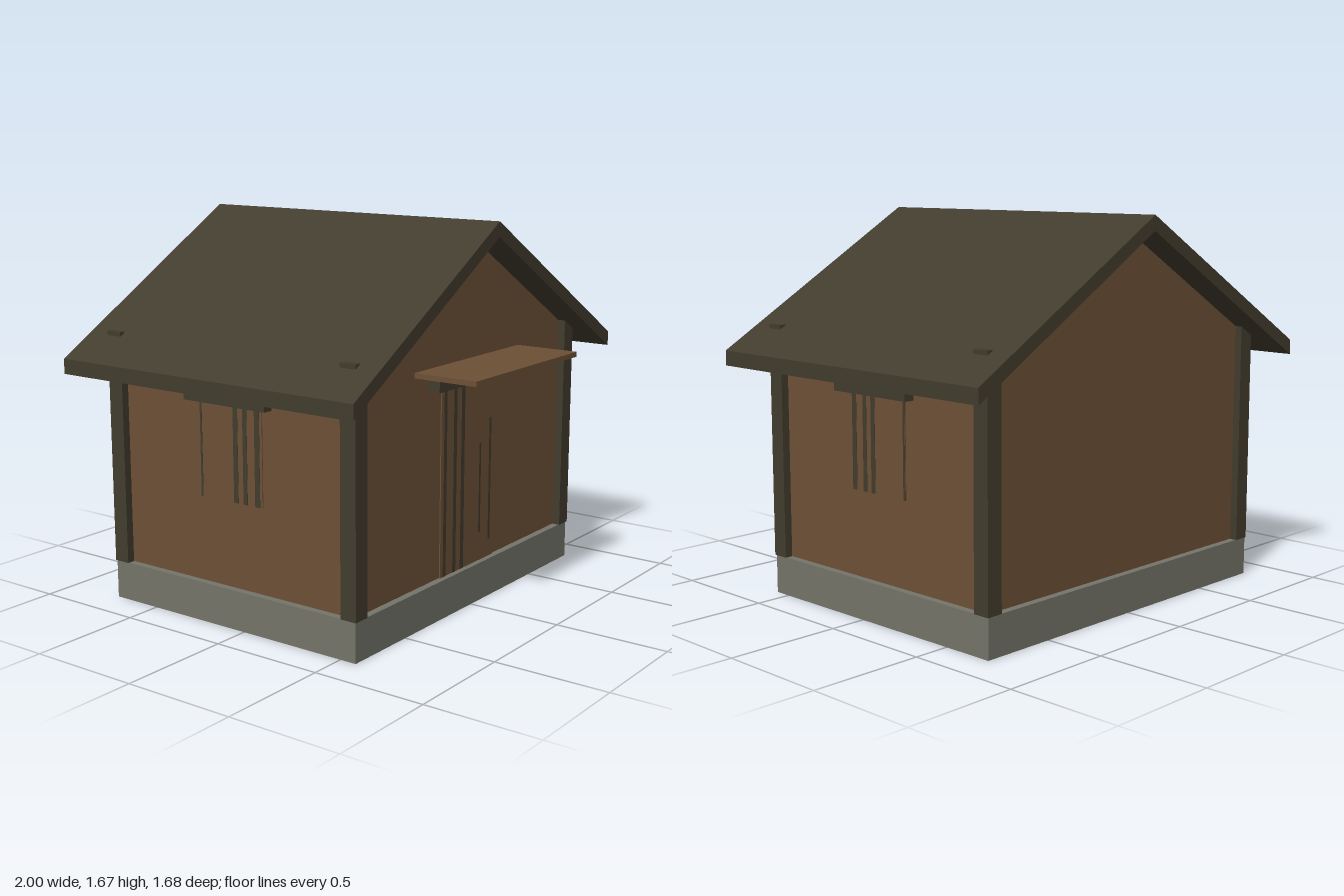
import * as THREE from 'three';

export function createModel() {
  const model = new THREE.Group();
  model.name = 'cabin';

  const mat = (name, color) => {
    const m = new THREE.MeshStandardMaterial({ color, side: THREE.DoubleSide });
    m.name = name;
    return m;
  };
  const wood = mat('brown wood', 0x6d5036);
  const dark = mat('dark timber', 0x423c2e);
  const stone = mat('grey stone', 0x74746a);

  const add = (name, geometry, material) => {
    const mesh = new THREE.Mesh(geometry, material);
    mesh.name = name;
    model.add(mesh);
    return mesh;
  };
  // Box given by its lower and upper limits on each axis
  const box = (name, material, x0, x1, y0, y1, z0, z1) => {
    const g = new THREE.BoxGeometry(Math.abs(x1 - x0), y1 - y0, Math.abs(z1 - z0));
    g.translate((x0 + x1) / 2, (y0 + y1) / 2, (z0 + z1) / 2);
    return add(name, g, material);
  };
  // Front outline extruded from z0 to z1
  const prism = (name, material, points, z0, z1) => {
    const shape = new THREE.Shape(points.map(([x, y]) => new THREE.Vector2(x, y)));
    const g = new THREE.ExtrudeGeometry(shape, { depth: z1 - z0, bevelEnabled: false });
    g.translate(0, 0, z0);
    return add(name, g, material);
  };

  // Hollow foundation, open underneath
  const base = box('foundation', stone, -0.84, 0.84, 0, 0.17, -0.73, 0.575);
  const index = Array.from(base.geometry.index.array);
  index.splice(18, 6);
  base.geometry.clearGroups();
  base.geometry.setIndex(index);

  // Walls with gables
  prism('walls', wood, [
    [-0.81, 0.171], [0.81, 0.171], [0.81, 1.13], [0, 1.607], [-0.81, 1.13],
  ], -0.7, 0.545);

  // Gable roof with plumb-cut eaves
  prism('roof', dark, [
    [-1, 1.015], [0, 1.603], [1, 1.015], [1, 1.08], [0, 1.667], [-1, 1.08],
  ], -0.84, 0.685);

  // Corner posts, each two boards meeting in an L, poking through the roof
  for (const s of [-1, 1]) {
    for (const [outer, dir] of [[0.58, -1], [-0.733, 1]]) {
      box('cornerPostFace', dark, s * 0.77, s * 0.845, 0.17, 1.19, outer, outer + dir * 0.035);
      box('cornerPostSide', dark, s * 0.81, s * 0.845, 0.17, 1.19, outer + dir * 0.035, outer + dir * 0.075);
    }
  }

  // Door, running down behind the foundation, with dark plank gaps
  box('door', wood, -0.21, 0.21, 0.005, 0.98, 0.543, 0.55);
  for (const [x, w, y0, y1] of [
    [-0.18, 0.022, 0.17, 0.98], [-0.105, 0.024, 0.17, 0.98], [-0.045, 0.026, 0.17, 0.98],
    [0.095, 0.014, 0.3, 0.7], [0.175, 0.016, 0.25, 0.8],
  ]) box('doorStripe', dark, x - w / 2, x + w / 2, y0, y1, 0.55, 0.5515);
  box('doorLintel', dark, -0.3, 0.3, 0.99, 1.06, 0.54, 0.598);
  box('doorCanopy', wood, -0.405, 0.405, 1.063, 1.085, 0.54, 0.838);

  // Shuttered window and lintel on both sides
  for (const s of [-1, 1]) {
    box('window', wood, s * 0.808, s * 0.814, 0.54, 0.945, -0.243, 0.09);
    for (const [z, w] of [[0.064, 0.026], [0, 0.022], [-0.05, 0.024], [-0.236, 0.01]]) {
      box('windowStripe', dark, s * 0.814, s * 0.8155, 0.54, 0.945, z - w / 2, z + w / 2);
    }
    box('windowLintel', dark, s * 0.8, s * 0.857, 0.95, 0.997, -0.29, 0.14);
  }

  return model;
}
